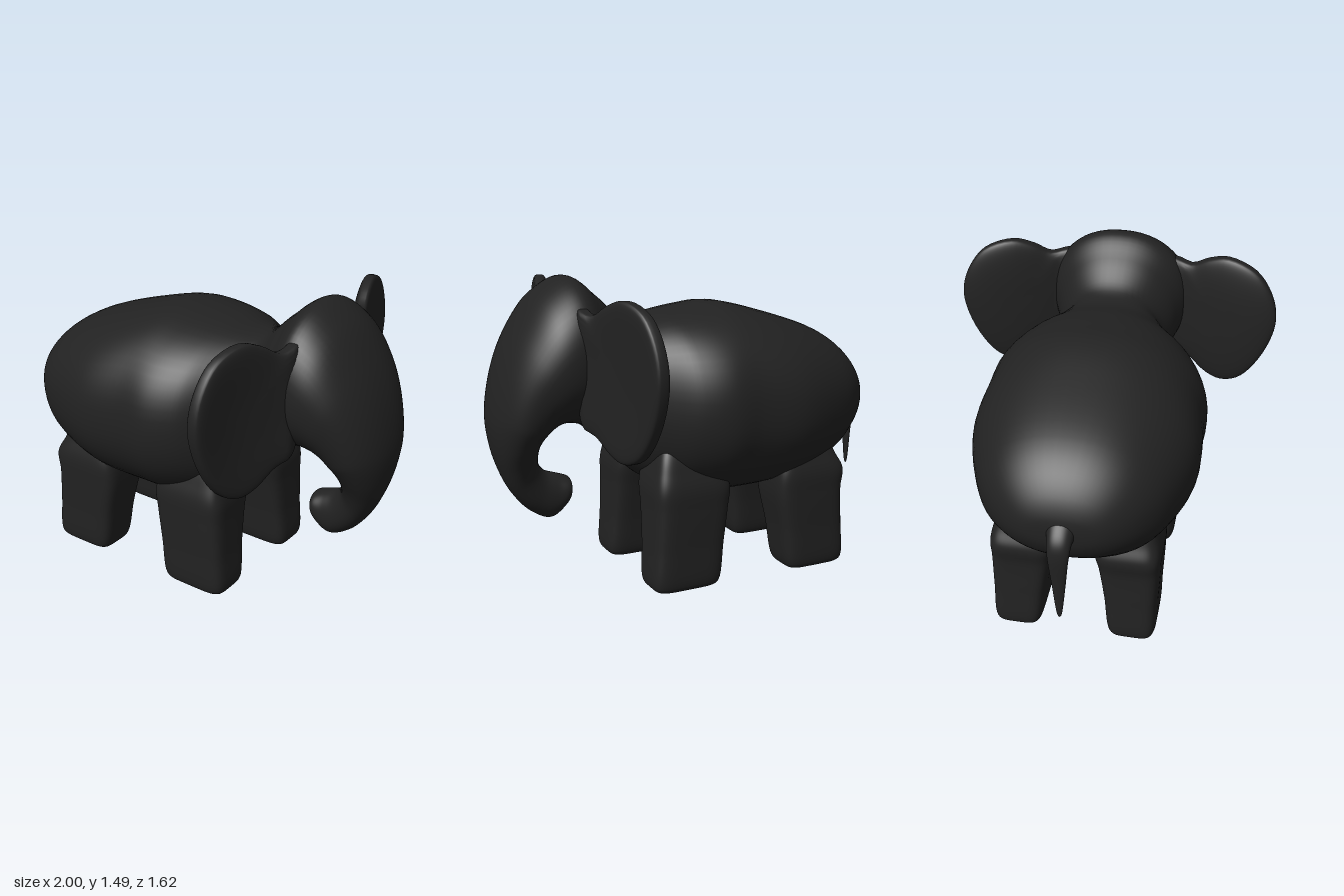
import * as THREE from 'three';
import { mergeVertices } from 'three/addons/utils/BufferGeometryUtils.js';
import { ParametricGeometry } from 'three/addons/geometries/ParametricGeometry.js';

const hide = new THREE.MeshStandardMaterial({ color: 0x222222 });

// Closed smooth surface from a function of u, v, always wound outwards
function surface(name, fn, nu, nv) {
  let g = new ParametricGeometry(fn, nu, nv);
  g.deleteAttribute('uv');
  g.deleteAttribute('normal');
  g = mergeVertices(g, 1e-5);
  const p = g.attributes.position, idx = g.index.array;
  const a = new THREE.Vector3(), b = new THREE.Vector3(), c = new THREE.Vector3();
  let volume = 0;
  for (let i = 0; i < idx.length; i += 3) {
    a.fromBufferAttribute(p, idx[i]);
    b.fromBufferAttribute(p, idx[i + 1]);
    c.fromBufferAttribute(p, idx[i + 2]);
    volume += a.dot(b.cross(c));
  }
  if (volume < 0) {
    for (let i = 0; i < idx.length; i += 3) [idx[i], idx[i + 1]] = [idx[i + 1], idx[i]];
  }
  g.computeVertexNormals();
  const mesh = new THREE.Mesh(g, hide);
  mesh.name = name;
  return mesh;
}

// Loft of superellipse rings; each section is [ax, ay, bx, by, halfWidth, zCentre],
// where a and b are opposite edges of the ring in the side profile
function loft(name, sections, power, nv = 64) {
  const edgeA = new THREE.CatmullRomCurve3(sections.map(s => new THREE.Vector3(s[0], s[1], s[4])));
  const edgeB = new THREE.CatmullRomCurve3(sections.map(s => new THREE.Vector3(s[2], s[3], s[5] || 0)));
  const round = t => Math.sign(t) * Math.pow(Math.abs(t) < 1e-9 ? 0 : Math.abs(t), 2 / power);
  return surface(name, (u, v, out) => {
    const a = edgeA.getPoint(v), b = edgeB.getPoint(v);
    const c = round(Math.cos(u * Math.PI * 2)), s = round(Math.sin(u * Math.PI * 2));
    out.set((a.x + b.x) / 2 + (b.x - a.x) / 2 * c, (a.y + b.y) / 2 + (b.y - a.y) / 2 * c, b.z + Math.max(a.z, 0) * s);
  }, 56, nv);
}

// Square leg, tapering to the foot and fading into the flank; x ranges at foot and top
function leg(name, foot, top, side) {
  const mid = (foot[0] + foot[1]) / 2;
  const ring = (x0, x1, y, z0, z1) => [x0, y, x1, y, (z1 - z0) / 2, side * (z0 + z1) / 2];
  return loft(name, [
    ring(mid, mid, 0.005, 0.28, 0.28),
    ring(foot[0] + 0.02, foot[1] - 0.02, 0.005, 0.185, 0.375),
    ring(foot[0], foot[1], 0.03, 0.165, 0.393),
    ring((foot[0] + top[0]) / 2, (foot[1] + top[1]) / 2, 0.22, 0.14, 0.4),
    ring(top[0], top[1], 0.4, 0.11, 0.405),
    ring(top[0] - 0.01, top[1], 0.5, 0.09, 0.405),
    ring(top[0] + 0.03, top[1] - 0.015, 0.58, 0.09, 0.385),
    ring(top[0] + 0.08, top[1] - 0.05, 0.69, 0.1, 0.34),
    ring(mid, mid, 0.86, 0.18, 0.18),
  ], 5);
}

// Broad, blunt-edged ear that sweeps backwards away from the head
function ear(name, side) {
  const outline = new THREE.CatmullRomCurve3([
    [0.19, 1.3], [0.25, 1.37], [0.36, 1.353], [0.45, 1.405], [0.55, 1.435], [0.69, 1.39], [0.775, 1.28], [0.81, 1.15],
    [0.79, 1.02], [0.72, 0.86], [0.64, 0.76], [0.55, 0.725], [0.47, 0.745], [0.37, 0.815], [0.26, 0.86], [0.2, 1.05],
  ].map(([z, y]) => new THREE.Vector3(0, y, z)), true);
  return surface(name, (u, v, out) => {
    const p = outline.getPoint(u % 1);
    const spread = Math.pow(Math.max(Math.sin(v * Math.PI), 0), 0.5);
    const c = Math.cos(v * Math.PI);
    const z = 0.54 + (p.z - 0.54) * spread;
    const y = 1.08 + (p.y - 1.08) * spread;
    const sweep = 0.49 + 0.55 * Math.pow(THREE.MathUtils.clamp(0.8 - z, 0, 0.48), 2);
    const lift = 0.17 * Math.pow(y - 1.08, 2);
    out.set(sweep + lift + 0.045 * Math.sign(c) * Math.pow(Math.abs(c), 0.5), y, z * side);
  }, 64, 32);
}

export function createModel() {
  const model = new THREE.Group();
  model.name = 'elephant';

  // Barrel body, neck, head and curled trunk in one skin; rings fan round the chin
  model.add(loft('bodyHeadAndTrunk', [
    [-0.935, 0.83, -0.935, 0.85, 0.01],
    [-0.92, 0.745, -0.92, 0.92, 0.16],
    [-0.88, 0.67, -0.88, 1.0, 0.25],
    [-0.8, 0.59, -0.8, 1.09, 0.345],
    [-0.68, 0.5, -0.68, 1.17, 0.43],
    [-0.4, 0.42, -0.4, 1.27, 0.53],
    [-0.15, 0.4, -0.15, 1.33, 0.53],
    [0, 0.41, 0, 1.32, 0.53],
    [0.14, 0.45, 0.14, 1.3, 0.475],
    [0.28, 0.51, 0.28, 1.275, 0.35],
    [0.38, 0.61, 0.37, 1.3, 0.265],
    [0.5, 0.735, 0.49, 1.405, 0.3],
    [0.58, 0.795, 0.61, 1.49, 0.345],
    [0.63, 0.81, 0.75, 1.42, 0.35],
    [0.67, 0.815, 0.87, 1.26, 0.33],
    [0.7, 0.81, 0.95, 1.08, 0.295],
    [0.735, 0.79, 0.995, 0.86, 0.25],
    [0.77, 0.74, 0.985, 0.71, 0.19],
    [0.78, 0.68, 0.955, 0.6, 0.14],
    [0.775, 0.625, 0.905, 0.495, 0.105],
    [0.74, 0.58, 0.82, 0.395, 0.09],
    [0.69, 0.56, 0.72, 0.348, 0.085],
    [0.635, 0.54, 0.645, 0.405, 0.08],
    [0.62, 0.53, 0.622, 0.44, 0.058],
    [0.618, 0.49, 0.618, 0.489, 0.003],
  ], 2.2, 168));

  // Paired ears and legs
  for (const [label, side] of [['right', 1], ['left', -1]]) {
    model.add(ear(label + 'Ear', side));
    model.add(leg(label + 'FrontLeg', [-0.015, 0.33], [-0.06, 0.32], side));
    model.add(leg(label + 'RearLeg', [-0.72, -0.395], [-0.705, -0.335], side));
  }

  // Thin hanging tail
  model.add(loft('tail', [
    [-0.87, 0.82, -0.87, 0.84, 0.01],
    [-0.885, 0.78, -0.885, 0.91, 0.065],
    [-0.942, 0.77, -0.965, 0.855, 0.055],
    [-0.965, 0.72, -1, 0.785, 0.047],
    [-0.966, 0.58, -0.994, 0.58, 0.03],
    [-0.978, 0.4, -0.986, 0.4, 0.008],
    [-0.982, 0.39, -0.9821, 0.39, 0.001],
  ], 2.2, 40));

  return model;
}
